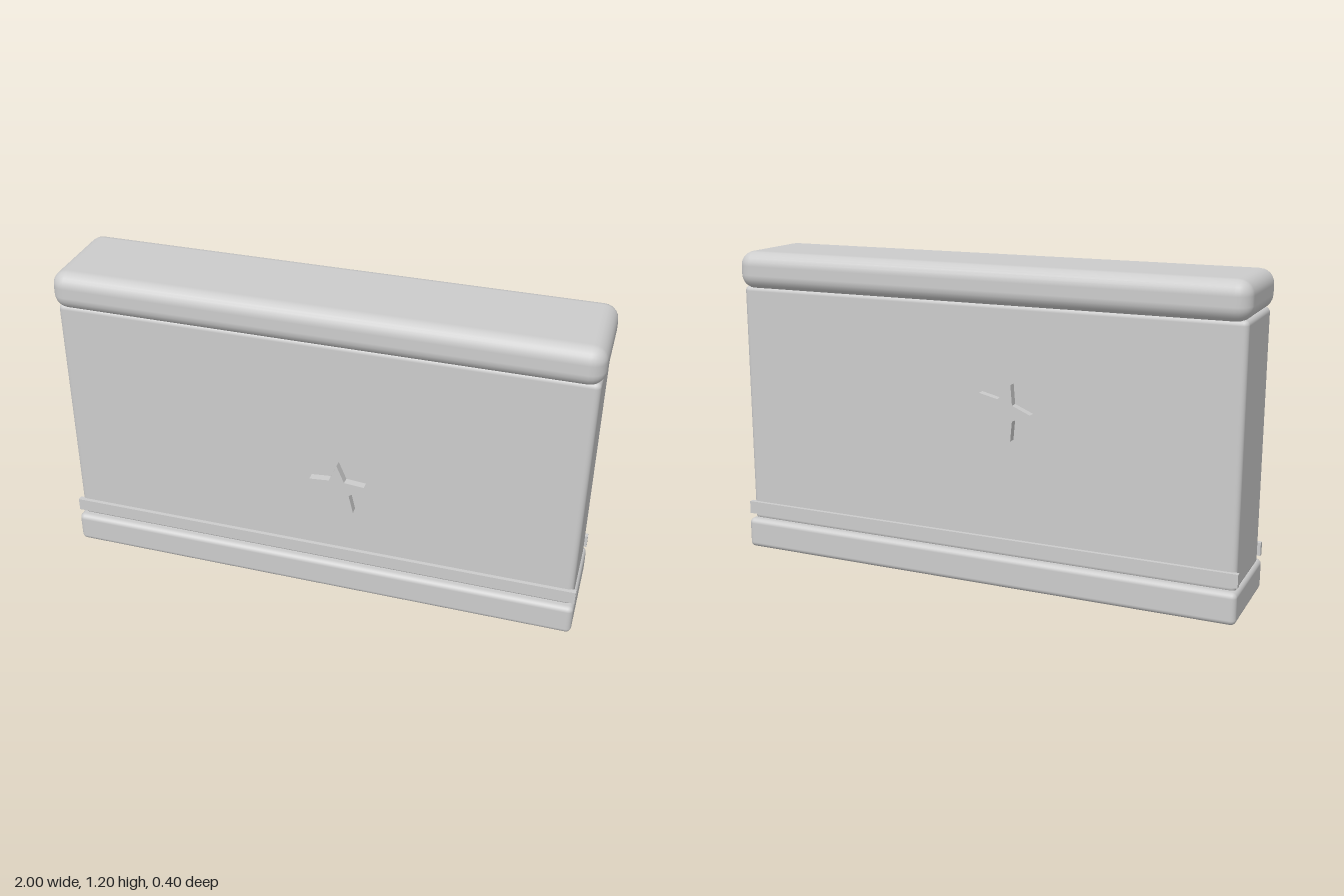
import * as THREE from 'three';
import { RoundedBoxGeometry } from 'three/addons/geometries/RoundedBoxGeometry.js';

export function createModel() {
  const group = new THREE.Group();
  const grey = new THREE.MeshStandardMaterial({ color: 0xcccccc });
  grey.name = 'light grey';

  function add(name, geometry, x, y, z) {
    const mesh = new THREE.Mesh(geometry, grey);
    mesh.name = name;
    mesh.position.set(x, y, z);
    group.add(mesh);
    return mesh;
  }

  // Block of the wall between two heights, with rounded edges
  function block(name, width, bottom, top, depth, radius) {
    const geometry = new RoundedBoxGeometry(width, top - bottom, depth, 3, radius);
    add(name, geometry, 0, (bottom + top) / 2, 0);
  }
  block('base', 2, 0, 0.12, 0.4, 0.02);
  block('wall', 1.98, 0.11, 1.065, 0.34, 0.02);
  block('cap', 2, 1.055, 1.2, 0.4, 0.055);

  // Thin trim strips above the base, front and back
  for (const side of [1, -1]) {
    add(side > 0 ? 'frontStrip' : 'backStrip',
      new THREE.BoxGeometry(2, 0.05, 0.02), 0, 0.163, side * 0.175);
  }

  // Raised five-pointed star, first tip at the given angle
  function starGeometry(angle) {
    const points = [];
    for (let i = 0; i < 10; i++) {
      const r = i % 2 ? 0.05 : 0.11;
      const a = angle + i * Math.PI / 5;
      points.push(new THREE.Vector2(r * Math.cos(a), r * Math.sin(a)));
    }
    return new THREE.ExtrudeGeometry(new THREE.Shape(points), { depth: 0.04, bevelEnabled: false });
  }
  add('frontStar', starGeometry(Math.PI / 2), 0.09, 0.47, 0.16);
  add('backStar', starGeometry(Math.PI), -0.12, 0.675, -0.2);

  return group;
}
